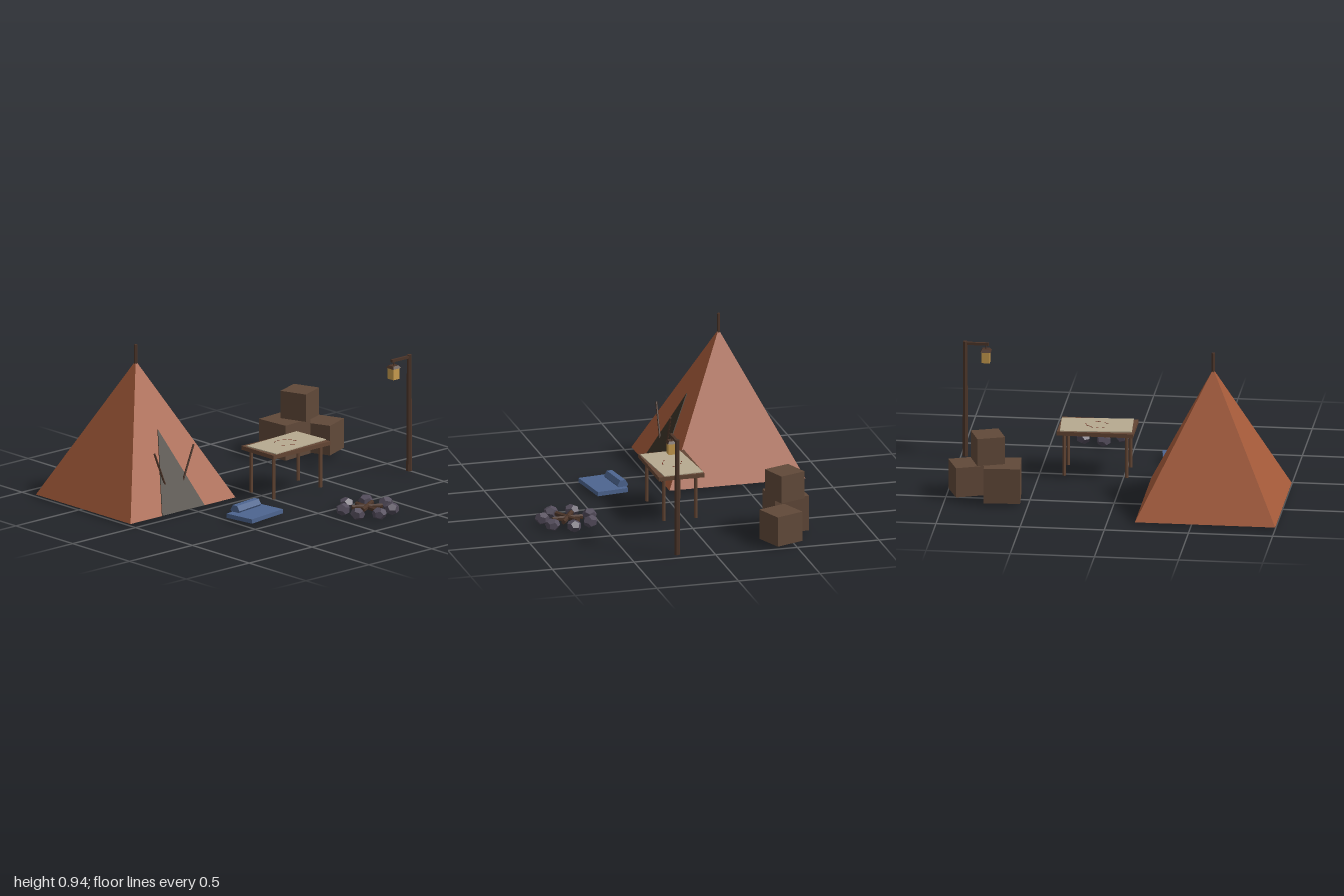
import * as THREE from 'three';

const mat = (name, color, flatShading = true) => {
  const m = new THREE.MeshStandardMaterial({ color, flatShading });
  m.name = name;
  return m;
};

export function createModel() {
  const root = new THREE.Group();
  root.name = 'campsite';

  const canvas = mat('rust canvas', 0xa65b3a);
  const dark = mat('dark opening', 0x3a3226);
  const wood = mat('dark wood', 0x4c3529);
  const crateWood = mat('crate wood', 0x614939);
  const tableWood = mat('table wood', 0x644634);
  const cloth = mat('blue cloth', 0x4d6590);
  const paper = mat('parchment', 0xb6aa90);
  const ink = mat('red ink', 0x6e2f22);
  const stone = mat('grey stone', 0x524b5a);
  const glow = mat('lantern glass', 0xc89c4e);

  const group = (name, x = 0, y = 0, z = 0, ry = 0) => {
    const g = new THREE.Group();
    g.name = name;
    g.position.set(x, y, z);
    g.rotation.y = ry;
    root.add(g);
    return g;
  };
  const add = (parent, name, geo, material, x = 0, y = 0, z = 0) => {
    const m = new THREE.Mesh(geo, material);
    m.name = name;
    m.position.set(x, y, z);
    parent.add(m);
    return m;
  };
  const box = (w, h, d) => new THREE.BoxGeometry(w, h, d);
  const cyl = (rt, rb, h, n) => new THREE.CylinderGeometry(rt, rb, h, n);

  // Tent: square pyramid, centre pole, triangular door and two flap sticks
  const base = 0.013, half = 0.417, rise = 0.832;
  const tent = group('tent', -0.584, 0, -0.46);
  const shell = new THREE.ConeGeometry(half * Math.SQRT2, rise, 4);
  shell.rotateY(Math.PI / 4);
  add(tent, 'tentCanvas', shell, canvas, 0, base + rise / 2, 0);
  add(tent, 'centrePole', cyl(0.01, 0.01, 0.935, 6), wood, 0, 0.4775, 0);

  const slope = Math.atan2(half, rise);
  const doorShape = new THREE.Shape([
    new THREE.Vector2(-0.168, 0),
    new THREE.Vector2(0.168, 0),
    new THREE.Vector2(0, 0.45 / Math.cos(slope)),
  ]);
  const door = add(tent, 'doorOpening',
    new THREE.ExtrudeGeometry(doorShape, { depth: 0.005, bevelEnabled: false }),
    dark, 0, base, half);
  door.rotation.x = -slope;
  for (const s of [-1, 1]) {
    const stick = add(tent, 'flapStick', cyl(0.006, 0.006, 0.23, 6), wood, s * 0.112, 0.268, 0.338);
    stick.rotation.z = -s * 0.39;
  }

  // Bedroll: flat mat with a six-sided roll at the head
  const bed = group('bedroll', -0.337, 0, 0.315, 0.14);
  add(bed, 'mat', box(0.285, 0.026, 0.195), cloth, 0, 0.026, 0);
  const roll = cyl(0.034, 0.034, 0.2, 6);
  roll.rotateZ(Math.PI / 2);
  add(bed, 'roll', roll, cloth, 0.011, 0.05, -0.078);

  // Table with four legs and a map
  const table = group('table', 0.162, 0, 0.037);
  add(table, 'tableTop', box(0.453, 0.024, 0.28), tableWood, 0, 0.285, 0);
  for (const x of [-0.186, 0.186])
    for (const z of [-0.098, 0.098])
      add(table, 'tableLeg', cyl(0.011, 0.011, 0.262, 6), tableWood, x, 0.144, z);

  const map = group('map', 0.166, 0.3, 0.036, 0.07);
  add(map, 'mapSheet', box(0.425, 0.005, 0.243), paper);
  // Dashed route drawn on the map: x, z, turn, length
  const dashes = [
    [-0.055, 0.03, -0.35, 0.022], [-0.01, 0.055, -0.3, 0.022], [0.005, 0.06, 0.2, 0.012],
    [-0.04, -0.055, 0.3, 0.014], [-0.005, -0.062, -0.2, 0.014], [0.03, -0.045, -0.6, 0.022],
    [0.052, -0.02, -0.9, 0.022], [0.064, 0.008, -1.2, 0.022],
  ];
  for (const [x, z, turn, len] of dashes)
    add(map, 'routeDash', box(len, 0.002, 0.005), ink, x, 0.003, z).rotation.y = turn;

  // Fire pit: ring of seven stones around three crossed logs
  const fire = group('firePit', 0.218, 0, 0.69);
  for (let i = 0; i < 7; i++) {
    const a = (i / 7) * Math.PI * 2;
    const rock = add(fire, 'stone', new THREE.DodecahedronGeometry(0.045), stone,
      Math.cos(a) * 0.148, 0.036, Math.sin(a) * 0.148);
    rock.scale.y = 0.85;
    rock.rotation.y = a;
  }
  for (let i = 0; i < 3; i++) {
    const log = cyl(0.014, 0.016, 0.185, 6);
    log.rotateX(Math.PI / 2);
    add(fire, 'log', log, wood, 0, 0.037 + i * 0.003, 0).rotation.y = (i * Math.PI) / 3;
  }

  // Lantern post with arm, hook and hanging lantern
  const post = group('lanternPost', 0.97, 0, 0.227);
  add(post, 'post', cyl(0.014, 0.018, 0.714, 6), wood, 0, 0.37, 0);
  add(post, 'arm', box(0.14, 0.016, 0.016), wood, -0.07, 0.714, 0);
  add(post, 'hook', cyl(0.004, 0.004, 0.04, 6), wood, -0.123, 0.694, 0);
  const cap = cyl(0.03, 0.044, 0.016, 4);
  cap.rotateY(Math.PI / 4);
  add(post, 'lanternCap', cap, wood, -0.123, 0.677, 0);
  add(post, 'lanternGlass', box(0.05, 0.068, 0.05), glow, -0.123, 0.636, 0);

  // Stack of three crates: size, x, base height, z, turn
  const crates = [
    [0.215, 0.66, 0.015, -0.525, 0.08],
    [0.182, 0.882, 0.015, -0.433, 0.37],
    [0.168, 0.751, 0.232, -0.493, 0.35],
  ];
  for (const [s, x, y, z, turn] of crates)
    add(root, 'crate', box(s, s, s), crateWood, x, y + s / 2, z).rotation.y = turn;

  return root;
}
